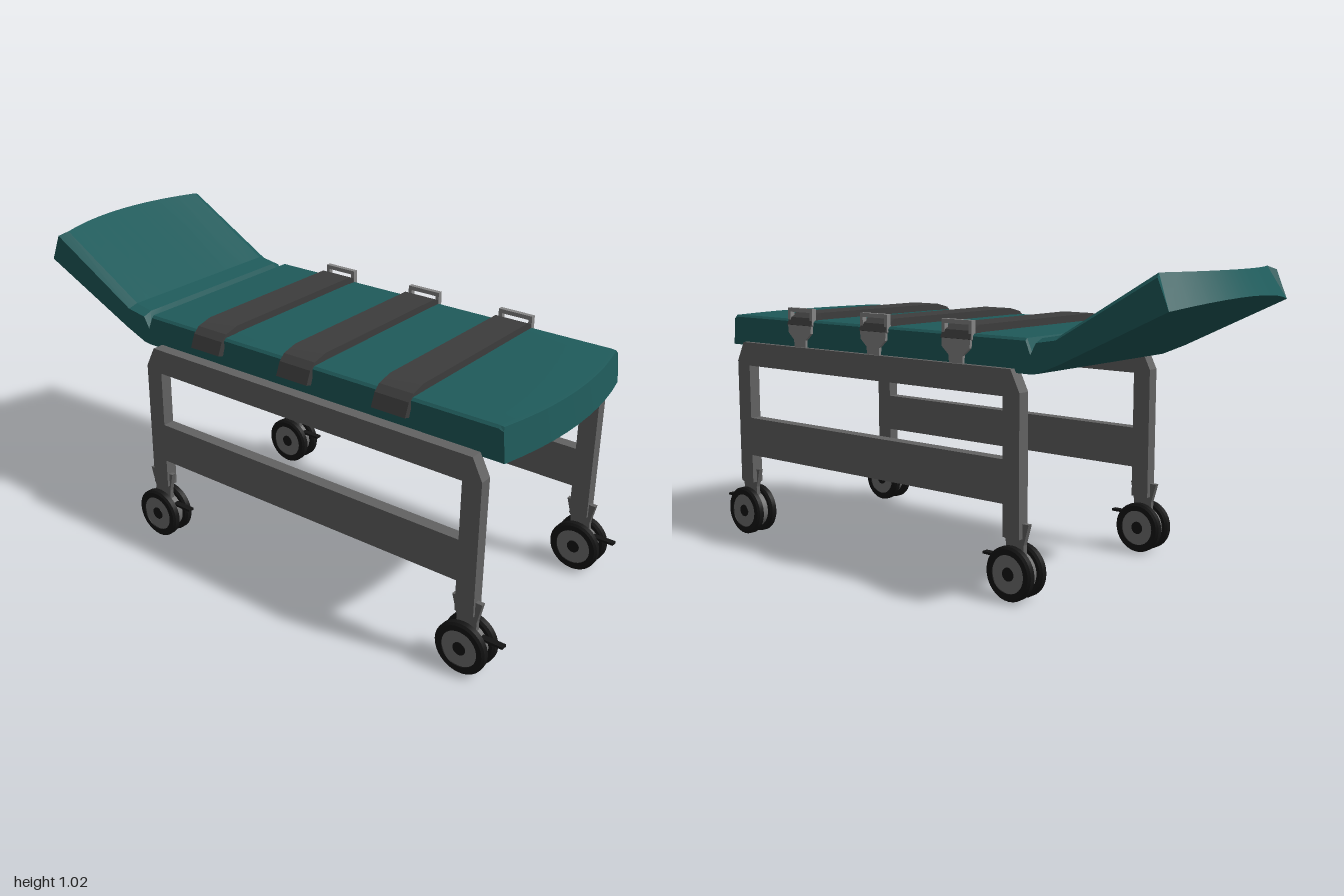
import * as THREE from 'three';
import { toCreasedNormals } from 'three/addons/utils/BufferGeometryUtils.js';

const mat = (color) => new THREE.MeshStandardMaterial({ color });
const teal = mat(0x1f5a5a), steel = mat(0x626262), strapGrey = mat(0x3d3d3d);
const buckleGrey = mat(0x858585), rubber = mat(0x141414), hubGrey = mat(0x707070);

function add(parent, name, geometry, material, x = 0, y = 0, z = 0) {
  const mesh = new THREE.Mesh(geometry, material);
  mesh.name = name;
  mesh.position.set(x, y, z);
  parent.add(mesh);
  return mesh;
}

const polygon = (pts) => new THREE.Shape(pts.map(([a, b]) => new THREE.Vector2(a, b)));

// Extrudes a (z, y) outline along x, centred on x = 0
function sidePlate(shape, thickness) {
  const g = new THREE.ExtrudeGeometry(shape, { depth: thickness, bevelEnabled: false });
  return g.translate(0, 0, -thickness / 2).rotateY(-Math.PI / 2);
}

// Padded top lofted through stations from the foot end to the raised head end
function mattressGeometry() {
  const half = 0.355, cols = 10;
  // top z, top y, bottom z, bottom y, end bulge, bottom rise, edge inset, edge drop
  const stations = [
    [0.93, 0.82, 0.943, 0.712, 0.045, 0, 0.008, 0.012],
    [0.915, 0.822, 0.92, 0.712, 0.045, 0, 0.008, 0.008],
    [-0.437, 0.82, -0.437, 0.712, 0, 0, 0.008, 0.008],
    [-0.455, 0.778, -0.455, 0.712, 0, 0, 0.01, 0.008],
    [-0.475, 0.82, -0.48, 0.715, 0, 0, 0.033, 0.012],
    [-0.543, 0.832, -0.565, 0.75, 0, 0, 0.033, 0.012],
    [-0.875, 1.026, -0.93, 0.922, -0.065, 0.028, 0.033, 0.012],
  ];
  const pos = [], idx = [], ring = 2 * cols + 4;
  for (const [zt, yt, zb, yb, bulge, rise, inset, drop] of stations) {
    const edgeZ = zt + (zb - zt) * 0.3;
    for (let i = 0; i <= cols; i++) {
      const u = (2 * i) / cols - 1;
      pos.push(u * (half - inset), yt, zt + bulge * (1 - u * u));
    }
    pos.push(half, yt - drop, edgeZ);
    for (let i = cols; i >= 0; i--) {
      const u = (2 * i) / cols - 1, k = 1 - u * u;
      pos.push(u * half, yb + rise * k, zb + bulge * k);
    }
    pos.push(-half, yt - drop, edgeZ);
  }
  for (let s = 0; s < stations.length - 1; s++) {
    for (let j = 0; j < ring; j++) {
      const a = s * ring + j, b = s * ring + ((j + 1) % ring);
      idx.push(a, b, b + ring, a, b + ring, a + ring);
    }
  }
  // End caps join each top point to the one below it
  const cap = (base, flip) => {
    const tri = (a, b, c) => (flip ? idx.push(base + a, base + c, base + b) : idx.push(base + a, base + b, base + c));
    const under = (i) => 2 * cols + 2 - i;
    for (let i = 0; i < cols; i++) {
      tri(i, under(i), under(i + 1));
      tri(i, under(i + 1), i + 1);
    }
    tri(cols, under(cols), cols + 1);
    tri(0, ring - 1, under(0));
  };
  cap(0, false);
  cap((stations.length - 1) * ring, true);
  const g = new THREE.BufferGeometry();
  g.setAttribute('position', new THREE.Float32BufferAttribute(pos, 3));
  g.setIndex(idx);
  return toCreasedNormals(g, 0.25);
}

// Side frame: two legs, top rail and lower rail cut from one plate
function frameGeometry() {
  const shape = polygon([
    [0.9, 0.2], [0.9, 0.655], [0.865, 0.725], [-0.395, 0.725], [-0.43, 0.655], [-0.43, 0.2],
    [-0.365, 0.2], [-0.365, 0.305], [0.835, 0.305], [0.835, 0.2],
  ]);
  shape.holes.push(polygon([[0.835, 0.445], [-0.365, 0.445], [-0.365, 0.64], [0.835, 0.64]]));
  return sidePlate(shape, 0.043);
}

// Twin-wheel caster with fork plate and brake lever
function caster() {
  const group = new THREE.Group();
  group.name = 'caster';
  const tyre = toCreasedNormals(new THREE.LatheGeometry([
    [0.062, -0.015], [0.08, -0.015], [0.088, -0.009], [0.088, 0.009], [0.08, 0.015], [0.062, 0.015], [0.062, -0.015],
  ].map(([r, y]) => new THREE.Vector2(r, y)), 32).rotateZ(Math.PI / 2), 0.5);
  const disc = (r, w) => new THREE.CylinderGeometry(r, r, w, 28).rotateZ(Math.PI / 2);
  for (const side of [-1, 1]) {
    add(group, 'tyre', tyre, rubber, side * 0.03);
    add(group, 'wheelDisc', disc(0.064, 0.022), hubGrey, side * 0.03);
    add(group, 'wheelCap', disc(0.022, 0.026), rubber, side * 0.03);
  }
  add(group, 'casterBody', disc(0.068, 0.034), hubGrey);
  const fork = polygon([
    [0.05, 0.158], [-0.054, 0.158], [-0.035, 0.09], [-0.035, 0.02], [0.035, 0.02], [0.035, 0.09],
  ]);
  add(group, 'casterFork', sidePlate(fork, 0.016), steel);
  add(group, 'brakeLever', new THREE.BoxGeometry(0.022, 0.008, 0.09), rubber, 0, 0.041, 0.083);
  return group;
}

// Strap section in the x, y plane: over the pad and down both edges
function strapGeometry(width) {
  const g = new THREE.ExtrudeGeometry(polygon([
    [-0.37, 0.768], [-0.348, 0.762], [-0.335, 0.802], [-0.318, 0.818], [-0.27, 0.822], [0.325, 0.822],
    [0.352, 0.815], [0.364, 0.796], [0.383, 0.803], [0.372, 0.829], [0.335, 0.846], [-0.275, 0.846],
    [-0.33, 0.832], [-0.352, 0.812],
  ]), { depth: width, bevelEnabled: false });
  return toCreasedNormals(g.translate(0, 0, -width / 2), 0.3);
}

// Buckle: upright slotted frame with a tapered tab fixed to the side rail
function buckle() {
  const group = new THREE.Group();
  group.name = 'buckle';
  const frame = polygon([[-0.063, 0.802], [0.063, 0.802], [0.063, 0.862], [-0.063, 0.862]]);
  frame.holes.push(polygon([[-0.05, 0.815], [-0.05, 0.848], [0.05, 0.848], [0.05, 0.815]]));
  add(group, 'buckleFrame', sidePlate(frame, 0.018), buckleGrey, 0.367);
  const tab = polygon([
    [-0.06, 0.803], [-0.058, 0.775], [-0.03, 0.75], [-0.028, 0.722], [0.028, 0.722], [0.03, 0.75],
    [0.058, 0.775], [0.06, 0.803],
  ]);
  add(group, 'buckleTab', sidePlate(tab, 0.01), buckleGrey, 0.375);
  return group;
}

export function createModel() {
  const model = new THREE.Group();
  model.name = 'stretcher';
  add(model, 'mattress', mattressGeometry(), teal, 0.015);

  // Side frames and casters
  const frame = frameGeometry();
  for (const side of [-1, 1]) {
    add(model, side > 0 ? 'leftFrame' : 'rightFrame', frame, steel, side * 0.364 + 0.004);
    for (const z of [0.873, -0.4]) {
      const wheel = caster();
      wheel.position.set(side * 0.364, 0.09, z);
      model.add(wheel);
    }
  }

  // Restraint straps
  const strap = strapGeometry(0.122);
  for (const z of [0.565, 0.2, -0.167]) {
    add(model, 'strap', strap, strapGrey, 0, 0, z);
    const clip = buckle();
    clip.position.z = z;
    model.add(clip);
  }
  return model;
}
